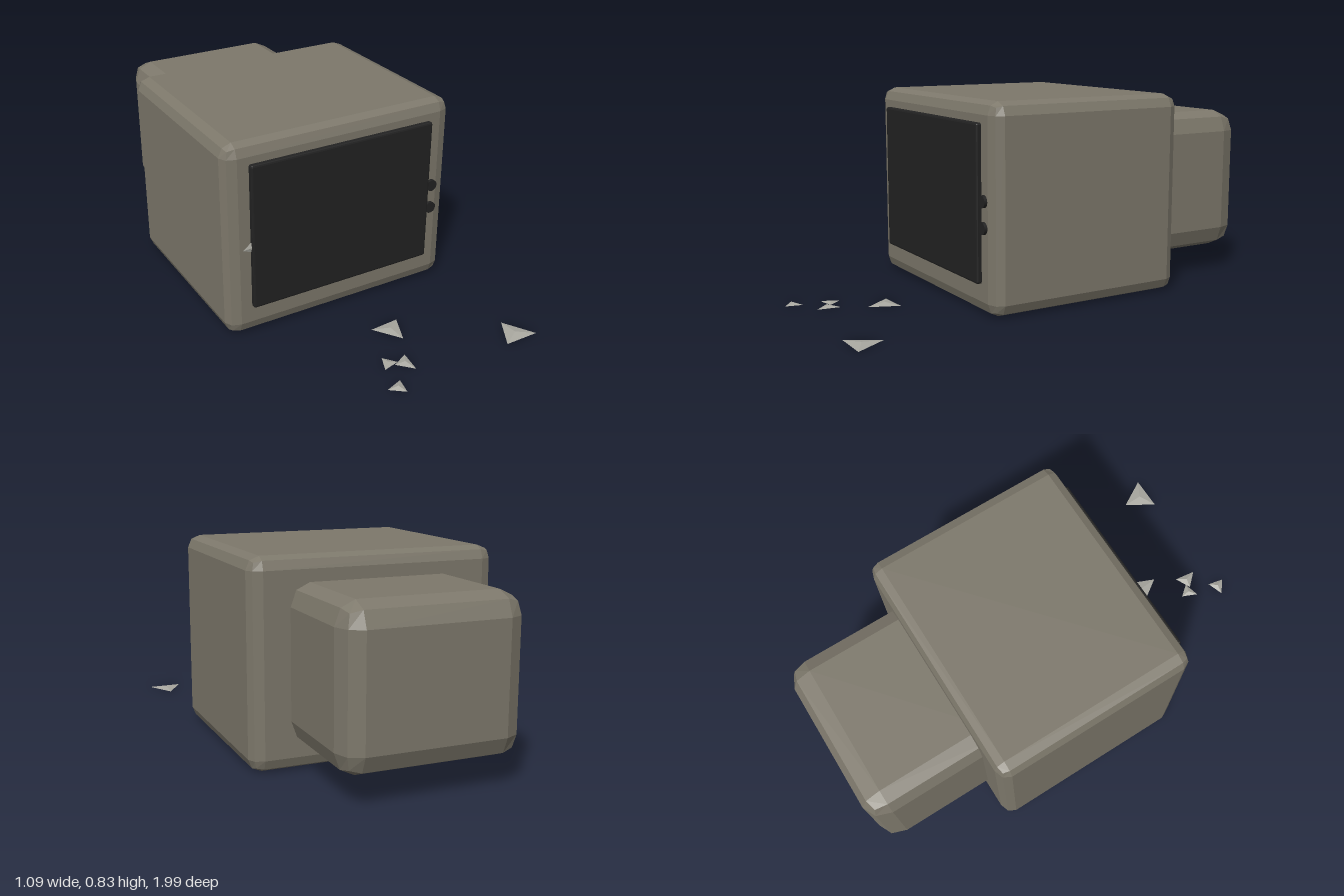
import * as THREE from 'three';
import { RoundedBoxGeometry } from 'three/addons/geometries/RoundedBoxGeometry.js';
import { ConvexGeometry } from 'three/addons/geometries/ConvexGeometry.js';

const paint = (name, color) => Object.assign(new THREE.MeshStandardMaterial({ color }), { name });

// Box between two corners with a faceted two-step bevel of its own radius per axis
function bevelBox(min, max, r) {
  const size = max.map((v, i) => v - min[i]);
  const g = new RoundedBoxGeometry(size[0] / r[0], size[1] / r[1], size[2] / r[2], 1, 1);
  g.scale(...r);
  g.translate(...min.map((v, i) => (v + max[i]) / 2));
  g.computeVertexNormals(); // unindexed, so every facet stays flat
  return g;
}

export function createModel() {
  const model = new THREE.Group();
  model.name = 'oldMonitor';
  const casing = paint('casing taupe', 0x7d786b);
  const dark = paint('screen black', 0x222222);
  const glass = paint('broken glass grey', 0xa9a8a0);

  const add = (name, geometry, material) => {
    const mesh = new THREE.Mesh(geometry, material);
    mesh.name = name;
    model.add(mesh);
    return mesh;
  };

  // Main casing and the smaller tube housing behind it
  add('casing', bevelBox([-0.545, 0.002, -0.507], [0.49, 0.832, 0.372], [0.054, 0.052, 0.045]), casing);
  add('tubeHousing', bevelBox([-0.39, 0.11, -1], [0.33, 0.73, -0.35], [0.078, 0.09, 0.09]), casing);

  // Raised screen panel
  add('screen', bevelBox([-0.443, 0.125, 0.35], [0.387, 0.749, 0.393], [0.008, 0.008, 0.006]), dark);

  // Two knobs beside the screen
  for (const y of [0.452, 0.348]) {
    const g = new THREE.CylinderGeometry(0.025, 0.025, 0.035, 16).rotateX(Math.PI / 2);
    add('knob', g, dark).position.set(0.408, y, 0.367);
  }

  // Glass shards on the floor: three corners as x, z and a low peak
  const shards = [
    [[-0.02, 0.597], [0.108, 0.588], [0.057, 0.71]],
    [[-0.09, 0.773], [-0.12, 0.842], [-0.05, 0.824]],
    [[-0.07, 0.834], [0, 0.8], [-0.013, 0.895]],
    [[-0.18, 0.945], [-0.107, 0.92], [-0.122, 0.99]],
    [[0.468, 0.82], [0.393, 0.947], [0.542, 0.947]],
  ];
  for (const corners of shards) {
    const points = corners.map(([x, z]) => new THREE.Vector3(x, 0, z));
    const peak = points.reduce((s, p) => s.add(p), new THREE.Vector3()).divideScalar(3);
    peak.y = 0.008;
    add('floorShard', new ConvexGeometry([...points, peak]), glass);
  }

  // Shard still stuck at the left edge of the screen
  const stuck = [[-0.48, 0.392, 0.377], [-0.4, 0.45, 0.377], [-0.4, 0.36, 0.377], [-0.425, 0.4, 0.385]];
  add('stuckShard', new ConvexGeometry(stuck.map((p) => new THREE.Vector3(...p))), glass);

  return model;
}
